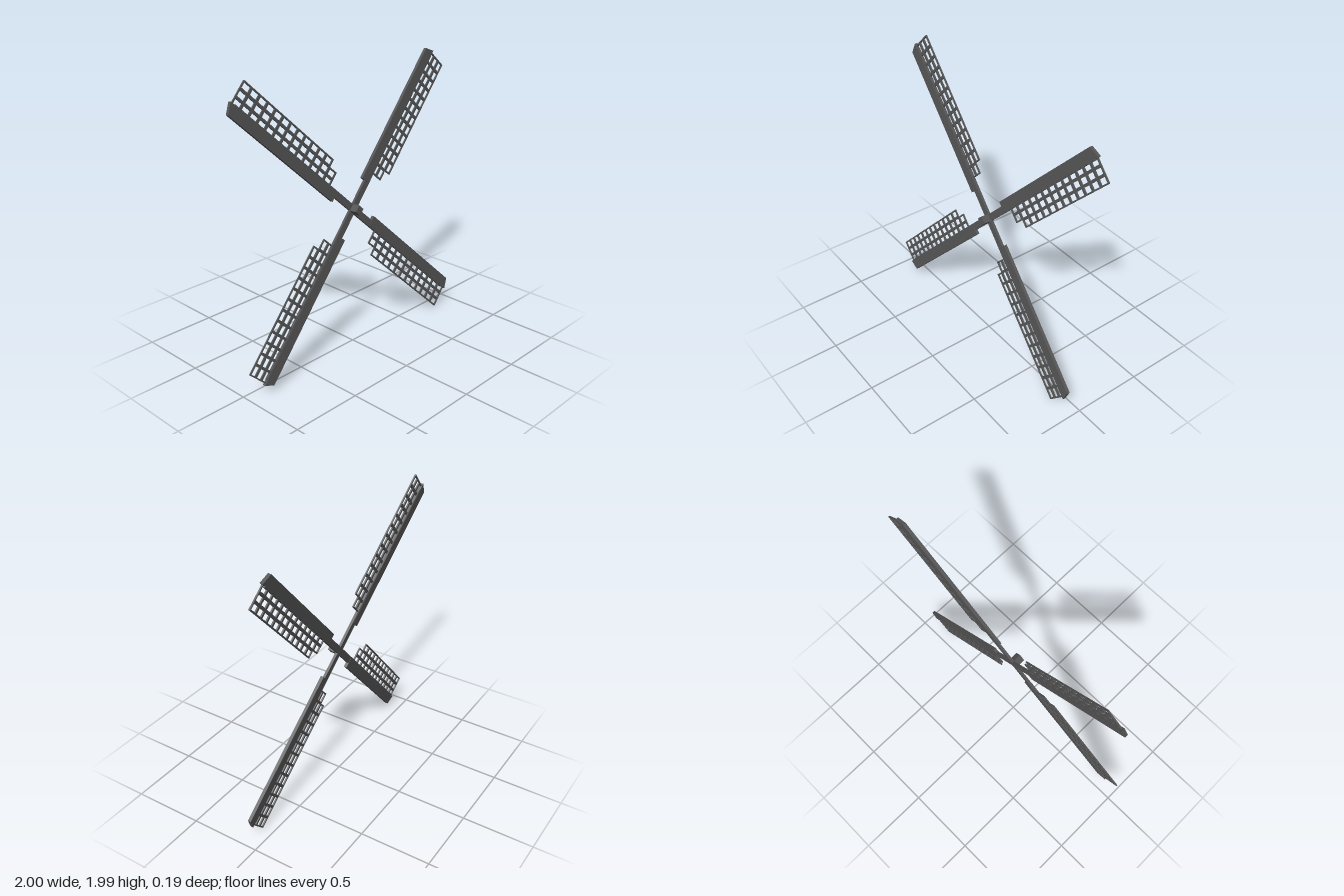
import * as THREE from 'three';

const iron = new THREE.MeshStandardMaterial({ color: 0x555555 });
iron.name = 'dark grey';

function polygon(points, Type = THREE.Shape) {
  return new Type(points.map(([x, y]) => new THREE.Vector2(x, y)));
}

function plate(name, shape, depth) {
  const geometry = new THREE.ExtrudeGeometry(shape, { depth, bevelEnabled: false });
  geometry.translate(0, 0, -depth / 2);
  const mesh = new THREE.Mesh(geometry, iron);
  mesh.name = name;
  return mesh;
}

// Open lattice: three rows of framed cells, the outer row one cell shorter
function latticeShape() {
  const u0 = 0.287, u1 = 1.274, columns = 13, rows = 3;
  const v0 = 0.007, v1 = 0.174, rim = 0.009;
  const du = (u1 - u0) / columns, dv = (v1 - v0) / rows;
  const shape = polygon([
    [u0, -v0], [u0, -v1 + dv], [u0 + du, -v1 + dv],
    [u0 + du, -v1], [u1, -v1], [u1, -v0],
  ]);
  for (let r = 0; r < rows; r++) {
    for (let c = r === rows - 1 ? 1 : 0; c < columns; c++) {
      const a = u0 + c * du + rim, b = u0 + (c + 1) * du - rim;
      const t = -(v0 + r * dv + rim), s = -(v0 + (r + 1) * dv - rim);
      shape.holes.push(polygon([[a, s], [a, t], [b, t], [b, s]], THREE.Path));
    }
  }
  return shape;
}

function createBlade() {
  const blade = new THREE.Group();
  blade.name = 'blade';

  // Square arm running out from the hub
  const spar = new THREE.Mesh(new THREE.BoxGeometry(1.25, 0.048, 0.018), iron);
  spar.name = 'spar';
  spar.position.x = 0.625;

  // Solid leading board with a slanted tip
  const board = plate('leadingBoard', polygon([
    [0.21, 0.056], [0.21, -0.018], [1.288, -0.018], [1.258, 0.056],
  ]), 0.022);

  blade.add(spar, board, plate('lattice', latticeShape(), 0.01));
  return blade;
}

export function createModel() {
  const model = new THREE.Group();
  model.name = 'windmillSails';

  // Rotor leans back slightly
  const rotor = new THREE.Group();
  rotor.name = 'rotor';
  rotor.position.y = 0.99;
  rotor.rotation.x = THREE.MathUtils.degToRad(-5);
  model.add(rotor);

  const spin = THREE.MathUtils.degToRad(46.8);
  for (let i = 0; i < 4; i++) {
    const blade = createBlade();
    blade.rotation.z = spin + i * Math.PI / 2;
    rotor.add(blade);
  }

  // Hub block in front of the crossing
  const hub = new THREE.Mesh(new THREE.BoxGeometry(0.052, 0.052, 0.072), iron);
  hub.name = 'hub';
  hub.rotation.z = spin;
  hub.position.z = 0.03;
  rotor.add(hub);

  return model;
}
